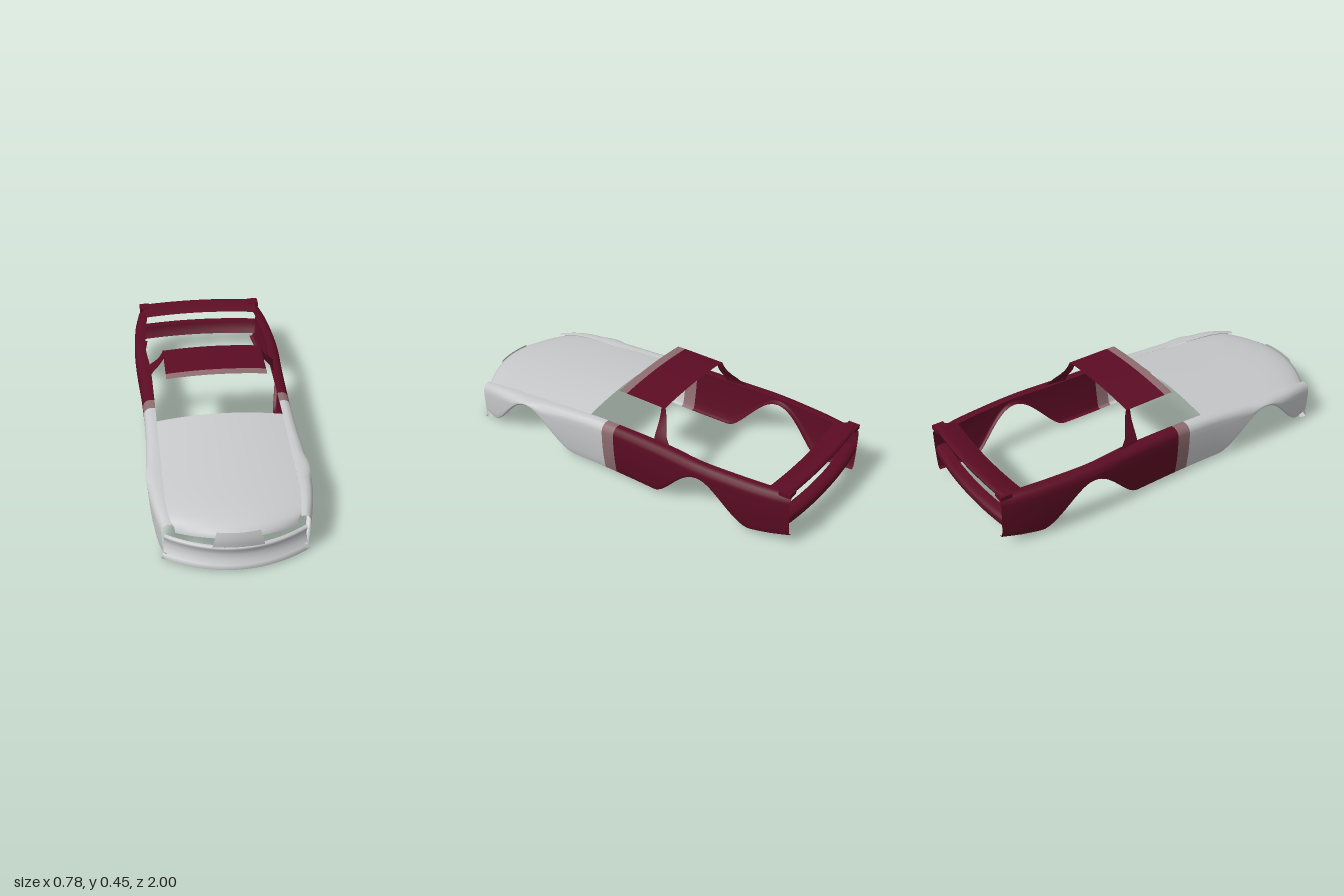
import * as THREE from 'three';

const material = (name, color) =>
  Object.assign(new THREE.MeshStandardMaterial({ color, side: THREE.DoubleSide }), { name });
const maroon = material('maroon paint', 0x5c0c24);
const grey = material('light grey paint', 0xc8c9cb);
const blend = material('blended band', 0x8f6d70);

// Smooth curve through [z, value] keys sorted by rising z
function curve(keys, z) {
  let i = 0;
  while (i < keys.length - 2 && z > keys[i + 1][0]) i++;
  const slope = (k) => {
    const a = keys[Math.max(k - 1, 0)], b = keys[Math.min(k + 1, keys.length - 1)];
    return (b[1] - a[1]) / (b[0] - a[0]);
  };
  const [z0, v0] = keys[i], [z1, v1] = keys[i + 1], h = z1 - z0;
  const t = THREE.MathUtils.clamp((z - z0) / h, 0, 1), t2 = t * t, t3 = t2 * t;
  return v0 * (2 * t3 - 3 * t2 + 1) + v1 * (3 * t2 - 2 * t3) +
    slope(i) * h * (t3 - 2 * t2 + t) + slope(i + 1) * h * (t3 - t2);
}

// Skin a list of rows of points; paint(row) picks a material per strip
function loft(name, rows, materials, paint = () => 0) {
  const n = rows[0].length, index = [];
  const geo = new THREE.BufferGeometry();
  geo.setAttribute('position', new THREE.Float32BufferAttribute(rows.flat(2), 3));
  for (let r = 0; r < rows.length - 1; r++) {
    geo.addGroup(index.length, (n - 1) * 6, paint(r));
    for (let c = 0; c < n - 1; c++) {
      const a = r * n + c, b = a + n;
      index.push(a, b, a + 1, b, b + 1, a + 1);
    }
  }
  geo.setIndex(index);
  geo.computeVertexNormals();
  const mesh = new THREE.Mesh(geo, materials);
  mesh.name = name;
  return mesh;
}

// Bar across the car: section of [halfWidth, y, z], bowed in z and crowned in y
function crossBar(name, section, bow, crown, mat) {
  const rows = section.map(([w, y, z]) => {
    const row = [];
    for (let i = 0; i <= 28; i++) {
      const u = i / 14 - 1;
      row.push([-w * u, y - crown * u * u, z - bow * u * u]);
    }
    return row;
  });
  return loft(name, rows, [mat]);
}

// Body side shapes along z
const outerX = [[-0.975, 0.337], [-0.88, 0.358], [-0.75, 0.376], [-0.5, 0.39], [-0.25, 0.38],
  [0, 0.374], [0.25, 0.375], [0.4, 0.383], [0.55, 0.39], [0.7, 0.381], [0.8, 0.364], [0.885, 0.342]];
const innerX = [[-0.975, 0.28], [-0.85, 0.302], [-0.7, 0.318], [-0.5, 0.33], [-0.33, 0.318],
  [-0.2, 0.315], [0.2, 0.315], [0.7, 0.315], [0.8, 0.31], [0.885, 0.295]];
const topY = [[-0.975, 0.292], [-0.5, 0.293], [-0.2, 0.293], [0.07, 0.288], [0.18, 0.282],
  [0.4, 0.262], [0.6, 0.245], [0.75, 0.23], [0.885, 0.2]];
const lowY = [[-0.975, 0.06], [-0.85, 0.035], [-0.72, 0.018], [-0.3, 0.014], [0.3, 0.014],
  [0.75, 0.014], [0.885, 0.03]];

function bottomY(z) {
  const base = curve(lowY, z);
  const arch = (c) => {
    const d = Math.min(Math.abs(z - c) / 0.27, 1);
    return Math.pow(0.5 + 0.5 * Math.cos(Math.PI * d), 0.8);
  };
  return base + (0.222 - base) * Math.max(arch(0.55), arch(-0.5));
}

function bodySide() {
  const stations = [0.885];
  for (let z = 0.87; z > 0.08; z -= 0.02) stations.push(z);
  stations.push(0.07, 0.035, 0);
  for (let z = -0.02; z > -0.97; z -= 0.02) stations.push(z);
  stations.push(-0.975);
  const rows = stations.map((z) => {
    const xo = curve(outerX, z), xi = curve(innerX, z), yt = curve(topY, z), yb = bottomY(z);
    const w = xo - xi, h = yt - yb, s = Math.min(0.035, h * 0.5);
    const row = [[xi, yt, z], [xi + w * 0.4, yt + 0.003, z], [xi + w * 0.72, yt - s * 0.1, z],
      [xi + w * 0.92, yt - s * 0.5, z], [xo, yt - s, z]];
    // Side wall leans inwards towards the sill
    for (let i = 1; i <= 6; i++) {
      const y = yt - s + (yb + 0.01 - yt + s) * (i / 6);
      row.push([xo - 0.45 * Math.pow(yt - s - y, 2), y, z]);
    }
    const x = row[row.length - 1][0];
    row.push([x - 0.007, yb + 0.002, z], [x - 0.02, yb, z]);
    return row;
  });
  const paint = (r) => (stations[r] > 0.071 ? 0 : stations[r] > 0.001 ? 1 : 2);
  return loft('bodySide', rows, [grey, blend, maroon], paint);
}

// Roof pillar as a tapering blade: [y, inner x, outer x, front z, rear z]
function pillar() {
  const stations = [[0.443, 0.238, 0.254, -0.2, -0.226], [0.42, 0.246, 0.26, -0.203, -0.234],
    [0.39, 0.26, 0.274, -0.206, -0.246], [0.36, 0.28, 0.296, -0.209, -0.26],
    [0.33, 0.304, 0.322, -0.212, -0.28], [0.305, 0.318, 0.336, -0.214, -0.304],
    [0.288, 0.322, 0.342, -0.215, -0.33]];
  const rows = stations.map(([y, xi, xo, zf, zr]) => {
    const t = 0.006;
    return [[xi, y, zf], [xi + t, y, zf], [xo, y, zr], [xo - t, y, zr], [xi, y, zf]];
  });
  return loft('roofPillar', rows, [maroon]);
}

export function createModel() {
  const car = new THREE.Group();

  // Both flanks and pillars
  for (const side of [1, -1]) {
    const flank = new THREE.Group();
    flank.name = side > 0 ? 'leftFlank' : 'rightFlank';
    flank.add(bodySide(), pillar());
    flank.scale.x = side;
    car.add(flank);
  }

  // Bonnet: [centre z, centre y, half width, bow, crown]
  const bonnet = [[0.18, 0.308, 0.316, 0, 0.026], [0.32, 0.294, 0.316, 0, 0.026],
    [0.45, 0.28, 0.316, 0, 0.024], [0.58, 0.267, 0.316, 0.005, 0.022],
    [0.7, 0.255, 0.316, 0.02, 0.021], [0.8, 0.244, 0.315, 0.04, 0.02],
    [0.88, 0.231, 0.312, 0.06, 0.02], [0.94, 0.215, 0.3, 0.08, 0.016],
    [0.972, 0.197, 0.283, 0.085, 0.013], [0.98, 0.176, 0.28, 0.085, 0.016]];
  const bonnetRows = bonnet.map(([z, y, w, bow, crown]) => {
    const row = [];
    for (let i = 0; i <= 24; i++) {
      const u = i / 12 - 1;
      row.push([w * u, y - crown * u * u, z - bow * u * u]);
    }
    return row;
  });
  car.add(loft('bonnet', bonnetRows, [grey]));

  // Nose panel between bonnet and bumper
  car.add(crossBar('nosePanel', [[0.1, 0.203, 0.975], [0.108, 0.175, 0.982],
    [0.115, 0.145, 0.982], [0.12, 0.12, 0.978]], 0.012, 0, grey));

  // Front bumper with lower lip
  car.add(crossBar('frontBumper', [[0.33, 0.122, 0.965], [0.33, 0.121, 0.982], [0.33, 0.106, 0.982],
    [0.33, 0.095, 0.971], [0.33, 0.07, 0.968], [0.333, 0.045, 0.974], [0.339, 0.022, 0.987],
    [0.346, 0.007, 1.0], [0.342, 0.002, 0.985], [0.335, 0.002, 0.965]], 0.115, 0, grey));

  // Roof panel with blended front strip
  const roofZ = [0.045, 0.02, 0, -0.06, -0.12, -0.18, -0.226];
  const roofRows = roofZ.map((z) => {
    const row = [];
    for (let i = 0; i <= 20; i++) {
      const u = i / 10 - 1;
      row.push([0.254 * u, 0.455 - 0.013 * u * u - (z > 0.03 ? 0.002 : 0), z]);
    }
    return row;
  });
  car.add(loft('roof', roofRows, [blend, maroon], (r) => (r < 2 ? 0 : 1)));

  // Rear spoiler
  car.add(crossBar('rearSpoiler', [[0.305, 0.294, -0.87], [0.315, 0.304, -0.9], [0.325, 0.313, -0.94],
    [0.33, 0.318, -0.97], [0.33, 0.313, -0.985], [0.33, 0.3, -0.985], [0.325, 0.291, -0.97],
    [0.315, 0.288, -0.92], [0.305, 0.294, -0.87]], -0.02, 0.004, maroon));

  // Spoiler end caps
  for (const side of [1, -1]) {
    const tip = new THREE.Mesh(new THREE.BoxGeometry(0.055, 0.022, 0.06), maroon);
    tip.name = 'spoilerTip';
    tip.position.set(side * 0.312, 0.3, -0.945);
    car.add(tip);
  }

  // Rear bumper
  car.add(crossBar('rearBumper', [[0.325, 0.188, -0.94], [0.33, 0.188, -0.975], [0.333, 0.18, -0.994],
    [0.333, 0.165, -1.0], [0.333, 0.14, -0.995], [0.33, 0.115, -0.982], [0.328, 0.095, -0.968]],
    -0.028, 0, maroon));

  return car;
}
